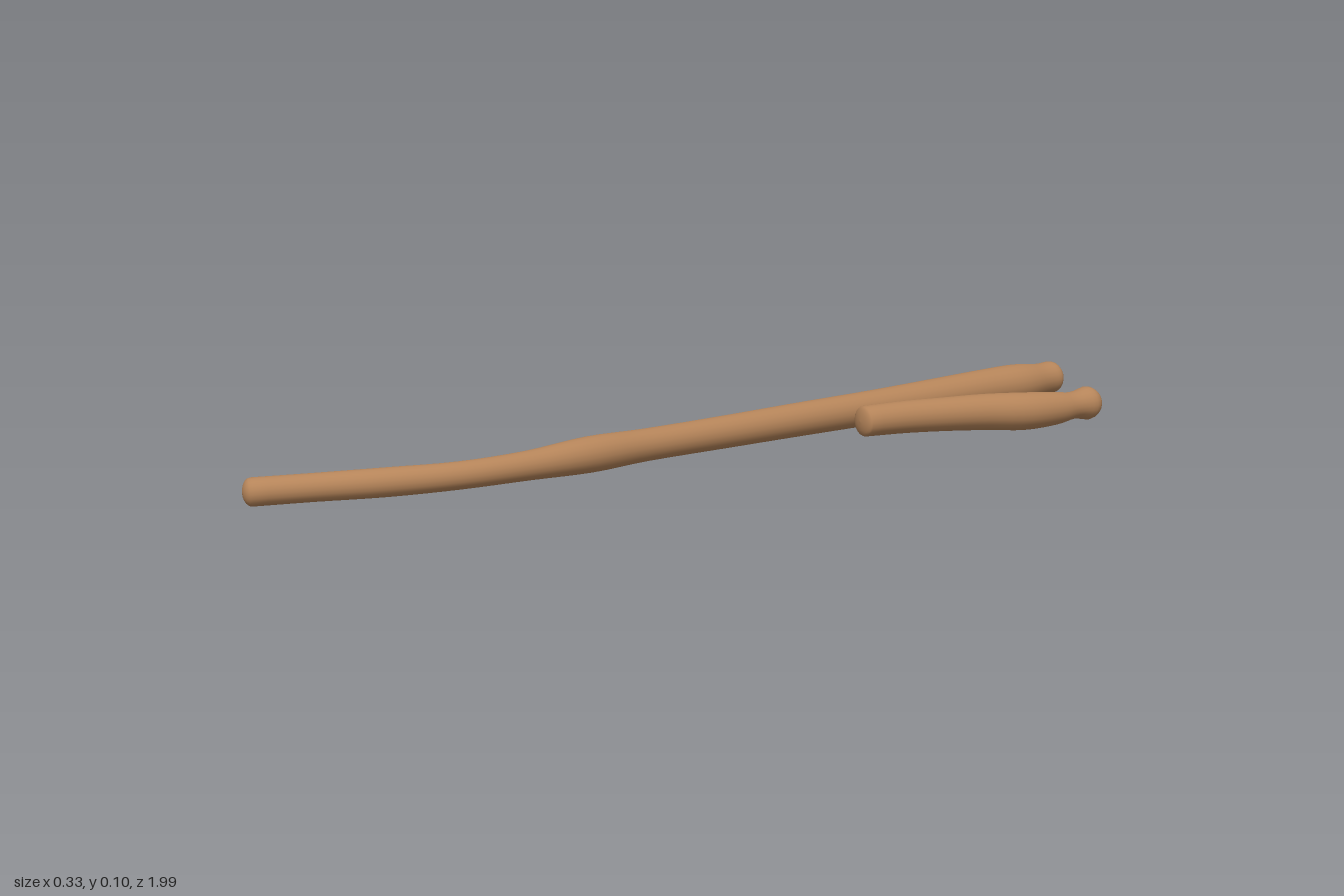
import * as THREE from 'three';

const wood = new THREE.MeshStandardMaterial({ color: 0xb6855a });
wood.name = 'wood';

const SIDES = 20;

// Sweeps round sections [x, y, z, radius] along a smooth path, with a dome of the given depth on each end.
// Stations run from the back (-z) to the front (+z).
function createStick(name, stations, backDepth, frontDepth) {
  const path = new THREE.CatmullRomCurve3(
    stations.map(([x, y, z]) => new THREE.Vector3(x, y, z)), false, 'catmullrom');
  const girth = new THREE.CatmullRomCurve3(
    stations.map((s) => new THREE.Vector3(s[3], 0, 0)), false, 'catmullrom');
  const rings = [];
  const addRing = (t, scale, shift) => {
    const tangent = path.getTangent(t);
    const center = path.getPoint(t).addScaledVector(tangent, shift);
    rings.push({ center, tangent, radius: girth.getPoint(t).x * scale });
  };

  // Back dome, body, front dome
  const domeSteps = 5;
  for (let i = domeSteps; i > 0; i--) {
    const a = (i / domeSteps) * Math.PI / 2;
    addRing(0, Math.max(Math.cos(a), 1e-4), -backDepth * Math.sin(a));
  }
  const steps = (stations.length - 1) * 4;
  for (let i = 0; i <= steps; i++) addRing(i / steps, 1, 0);
  for (let i = 1; i <= domeSteps; i++) {
    const a = (i / domeSteps) * Math.PI / 2;
    addRing(1, Math.max(Math.cos(a), 1e-4), frontDepth * Math.sin(a));
  }

  const positions = [];
  const index = [];
  const up = new THREE.Vector3(0, 1, 0);
  rings.forEach(({ center, tangent, radius }, i) => {
    const side = new THREE.Vector3().crossVectors(up, tangent).normalize();
    const rise = new THREE.Vector3().crossVectors(tangent, side);
    for (let j = 0; j < SIDES; j++) {
      const a = (j / SIDES) * Math.PI * 2;
      const p = center.clone()
        .addScaledVector(side, Math.cos(a) * radius)
        .addScaledVector(rise, Math.sin(a) * radius);
      positions.push(p.x, p.y, p.z);
      if (i < rings.length - 1) {
        const k = (j + 1) % SIDES;
        const b = i * SIDES;
        const n = b + SIDES;
        index.push(b + j, b + k, n + j, b + k, n + k, n + j);
      }
    }
  });
  const geometry = new THREE.BufferGeometry();
  geometry.setAttribute('position', new THREE.Float32BufferAttribute(positions, 3));
  geometry.setIndex(index);
  geometry.computeVertexNormals();
  const mesh = new THREE.Mesh(geometry, wood);
  mesh.name = name;
  return mesh;
}

export function createModel() {
  const group = new THREE.Group();
  group.name = 'woodenSticks';

  // Long stick: thick knobbed back, slim waist, swelling and a bent handle
  group.add(createStick('longStick', [
    [-0.064, 0.067, -0.975, 0.037],
    [-0.062, 0.066, -0.935, 0.037],
    [-0.059, 0.065, -0.86, 0.045],
    [-0.058, 0.065, -0.75, 0.044],
    [-0.052, 0.065, -0.58, 0.041],
    [-0.047, 0.066, -0.4, 0.037],
    [-0.041, 0.067, -0.2, 0.035],
    [-0.035, 0.067, 0, 0.033],
    [-0.028, 0.068, 0.2, 0.032],
    [-0.019, 0.069, 0.34, 0.035],
    [-0.017, 0.067, 0.48, 0.028],
    [-0.028, 0.066, 0.62, 0.026],
    [-0.062, 0.066, 0.75, 0.027],
    [-0.105, 0.066, 0.87, 0.026],
    [-0.142, 0.066, 0.975, 0.026],
  ], 0.025, 0.016));

  // Short stick: rounded knob, narrow neck and a tapering body
  group.add(createStick('shortStick', [
    [0.13, 0.046, -0.885, 0.037],
    [0.13, 0.046, -0.84, 0.03],
    [0.126, 0.045, -0.79, 0.036],
    [0.117, 0.048, -0.7, 0.041],
    [0.096, 0.055, -0.6, 0.039],
    [0.08, 0.06, -0.5, 0.036],
    [0.065, 0.064, -0.4, 0.034],
    [0.054, 0.066, -0.297, 0.032],
  ], 0.034, 0.012));

  return group;
}
